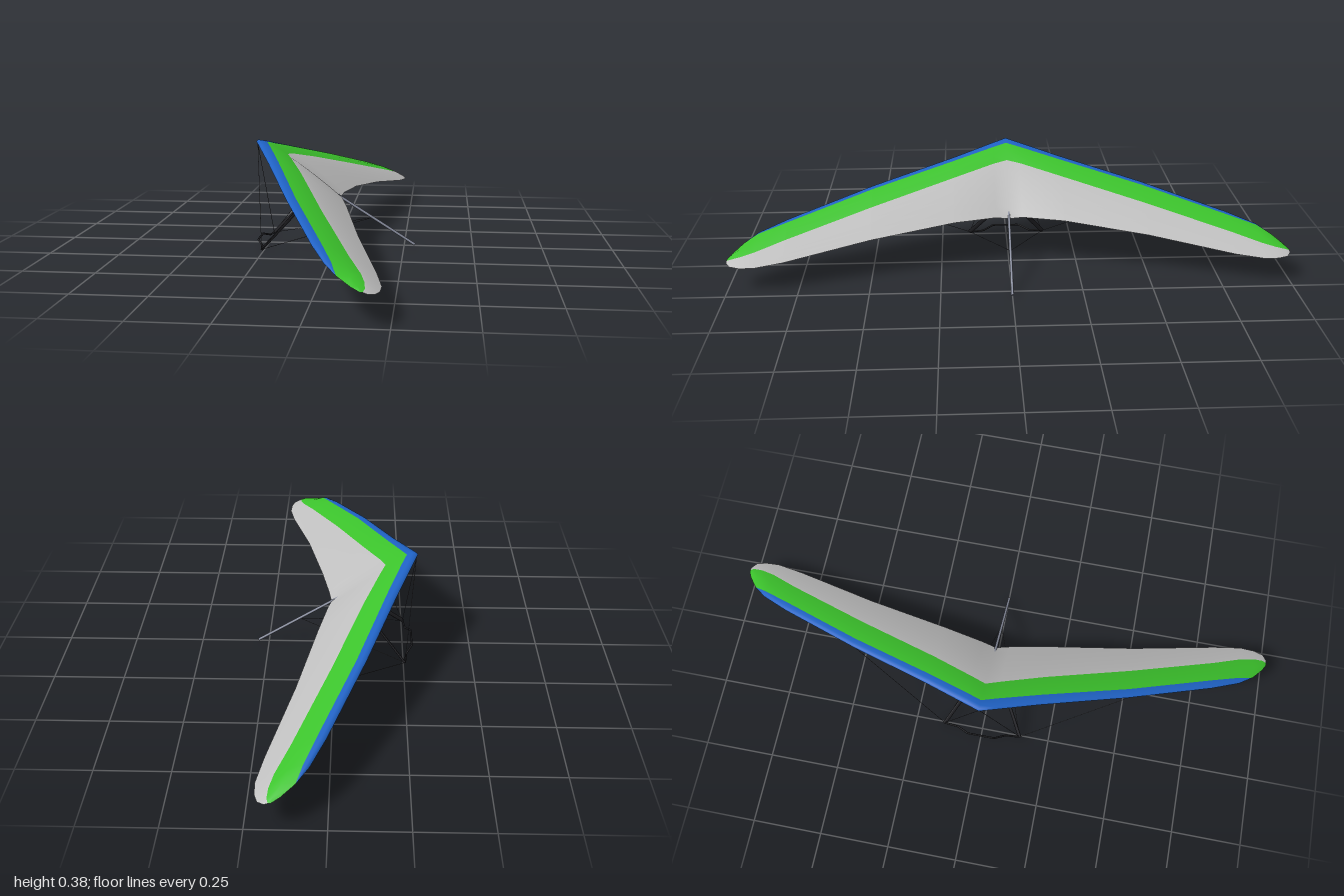
import * as THREE from 'three';

const mat = (name, color) => {
  const m = new THREE.MeshStandardMaterial({ color });
  m.name = name;
  return m;
};

// Half-span stations: z, leading x, trailing x, leading lift, trailing lift, camber, blue width, green edge
const STATIONS = [
  [0, -0.295, 0.015, 0, -0.003, 0.08, 0.04, 0.115],
  [0.05, -0.276, 0.025, 0, 0.012, 0.08, 0.04, 0.115],
  [0.2, -0.218, 0.056, 0, 0.028, 0.075, 0.036, 0.115],
  [0.5, -0.112, 0.12, 0, 0.035, 0.06, 0.032, 0.115],
  [0.8, 0.008, 0.2, 0, 0.042, 0.05, 0.03, 0.11],
  [0.9, 0.056, 0.22, 0.002, 0.045, 0.045, 0.02, 0.105],
  [0.95, 0.095, 0.218, 0.006, 0.043, 0.035, 0, 0.08],
  [0.985, 0.138, 0.207, 0.013, 0.038, 0.02, 0, 0.04],
  [1, 0.165, 0.185, 0.02, 0.028, 0.004, 0, 0.008],
];
const planeY = (x) => 0.19 - 0.638 * x; // the tilted plane of the airframe

// One skin of the sail, its columns grouped into colour bands
function sailSkin(upper) {
  const mirrored = STATIONS.slice(1).reverse().map(([z, ...rest]) => [-z, ...rest]);
  const rows = [...mirrored, ...STATIONS];
  const pos = [];
  for (const [z, xl, xt, liftL, liftT, camber, d1, d2] of rows) {
    const chord = xt - xl;
    const rest = chord - d2;
    const offsets = upper
      ? [0, d1 * 0.15, d1 * 0.5, d1, (d1 + d2) / 2, d2]
      : [0, d2 * 0.25, d2 * 0.6, d2];
    for (let k = 1; k <= 6; k++) offsets.push(d2 + (rest * k) / 6);
    for (const d of offsets) {
      const u = d / chord;
      const y0 = planeY(xl) + liftL, y1 = planeY(xt) + liftT;
      const bulge = camber * Math.sqrt(u) * (1 - u);
      pos.push(xl + d, y0 + (y1 - y0) * u + bulge * (upper ? 1 : -0.12), z);
    }
  }
  const n = pos.length / 3 / rows.length;
  const bands = upper ? [[0, 3, 0], [3, 5, 1], [5, n - 1, 2]] : [[0, 3, 1], [3, n - 1, 2]];
  const geo = new THREE.BufferGeometry();
  const index = [];
  for (const [from, to, material] of bands) {
    const start = index.length;
    for (let i = 0; i < rows.length - 1; i++) {
      for (let j = from; j < to; j++) {
        const a = i * n + j, b = a + n, c = a + 1, d = b + 1;
        if (upper) index.push(a, b, c, b, d, c);
        else index.push(a, c, b, b, c, d);
      }
    }
    geo.addGroup(start, index.length - start, material);
  }
  geo.setAttribute('position', new THREE.Float32BufferAttribute(pos, 3));
  geo.setIndex(index);
  geo.computeVertexNormals();
  return geo;
}

// Straight rod between two points, optionally flattened sideways
function rod(name, a, b, radius, material, flat = 1, sides = 10) {
  const p = new THREE.Vector3(...a), q = new THREE.Vector3(...b);
  const dir = q.clone().sub(p);
  const mesh = new THREE.Mesh(new THREE.CylinderGeometry(radius, radius, dir.length(), sides), material);
  mesh.scale.z = flat;
  mesh.position.copy(p).add(q).multiplyScalar(0.5);
  mesh.quaternion.setFromUnitVectors(new THREE.Vector3(0, 1, 0), dir.normalize());
  mesh.name = name;
  return mesh;
}

export function createModel() {
  const blue = mat('blue sailcloth', 0x1f62c4);
  const green = mat('green sailcloth', 0x3cc42c);
  const grey = mat('pale grey sailcloth', 0xc0c0c0);
  const black = mat('black tubing', 0x222226);
  const metal = mat('keel metal', 0x8a8fa0);
  const cable = mat('cable', 0x3a3a3e);

  const model = new THREE.Group();
  model.name = 'hangGlider';

  // Sail
  for (const upper of [true, false]) {
    const skin = new THREE.Mesh(sailSkin(upper), [blue, green, grey]);
    skin.name = upper ? 'upperSail' : 'lowerSail';
    model.add(skin);
  }

  // Keel tube
  model.add(rod('keel', [-0.27, 0.358, 0], [0.289, 0.005, 0], 0.005, metal));

  // Control frame and rigging, mirrored across z
  for (const s of [1, -1]) {
    const corner = [-0.256, 0.007, 0.143 * s];
    model.add(
      rod('upright', [-0.054, 0.222, 0.01 * s], corner, 0.008, black, 0.5),
      rod('noseWire', corner, [-0.29, 0.37, 0], 0.001, cable, 1, 5),
      rod('tailWire', corner, [0.13, 0.102, 0], 0.001, cable, 1, 5),
      rod('sideWire', corner, [-0.075, 0.235, 0.55 * s], 0.001, cable, 1, 5),
    );
  }

  // Forward-bent base bar
  const bar = new THREE.CurvePath();
  const pts = [
    [-0.256, 0.006, -0.145], [-0.262, 0.009, -0.09], [-0.284, 0.022, -0.05],
    [-0.284, 0.022, 0.05], [-0.262, 0.009, 0.09], [-0.256, 0.006, 0.145],
  ].map((p) => new THREE.Vector3(...p));
  for (let i = 0; i < pts.length - 1; i++) bar.add(new THREE.LineCurve3(pts[i], pts[i + 1]));
  const baseBar = new THREE.Mesh(new THREE.TubeGeometry(bar, 60, 0.0035, 8), black);
  baseBar.name = 'baseBar';
  model.add(baseBar);

  return model;
}
